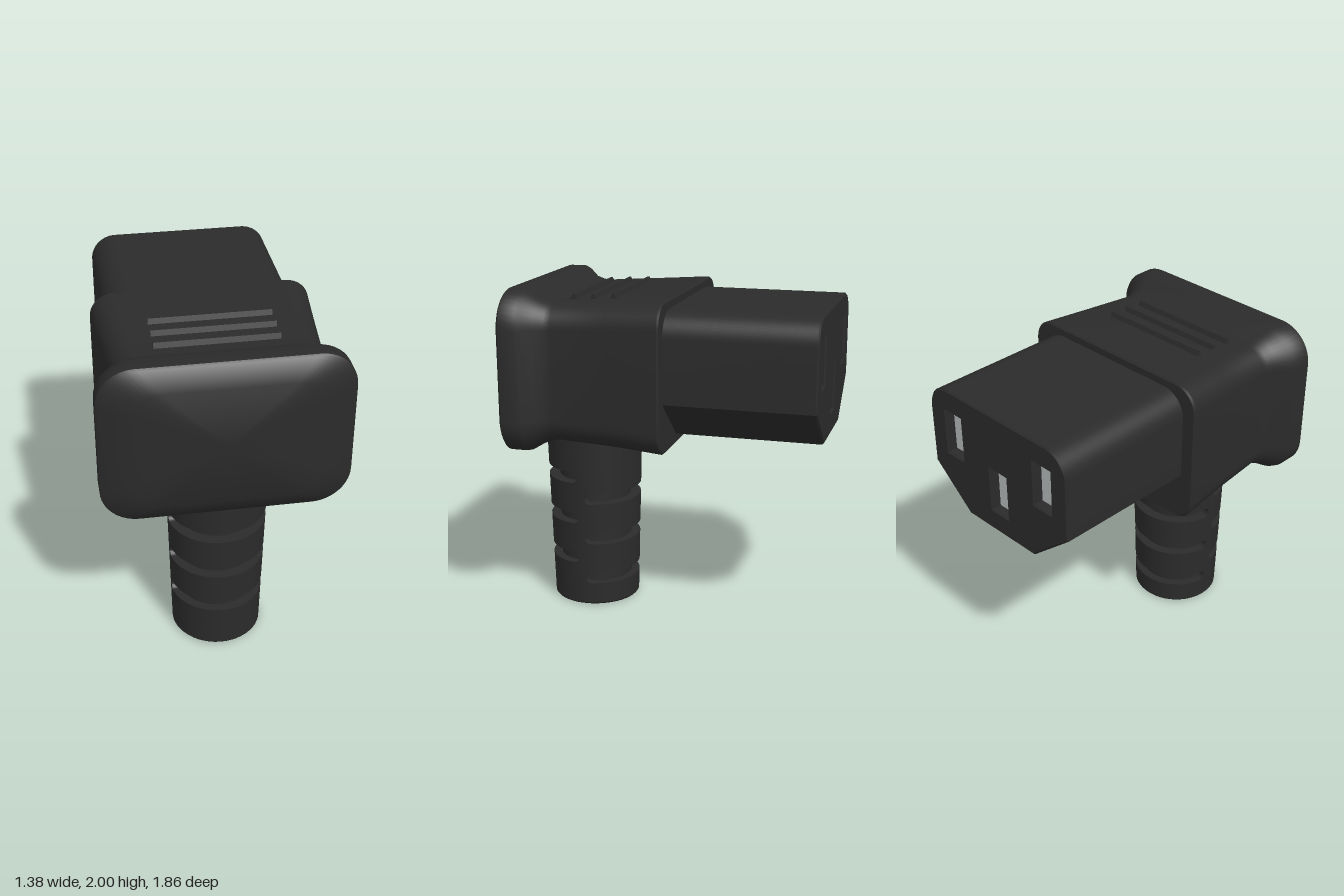
import * as THREE from 'three';
import { toCreasedNormals } from 'three/addons/utils/BufferGeometryUtils.js';

const rubber = new THREE.MeshStandardMaterial({ color: 0x2b2b2b });
rubber.name = 'black rubber';
const metal = new THREE.MeshStandardMaterial({ color: 0xb8bcbc });
metal.name = 'contact metal';

// Skin a stack of closed rings and cap both ends
function loft(rings, crease = 0.6) {
  const n = rings[0].length;
  const pos = rings.flat().flatMap((p) => [p.x, p.y, p.z]);
  const index = [];
  for (let i = 0; i < rings.length - 1; i++) {
    for (let j = 0; j < n; j++) {
      const a = i * n + j, b = i * n + (j + 1) % n;
      index.push(a, b, b + n, a, b + n, a + n);
    }
  }
  [0, rings.length - 1].forEach((r, end) => {
    const c = rings[r].reduce((s, p) => s.add(p), new THREE.Vector3()).divideScalar(n);
    const k = pos.length / 3;
    pos.push(c.x, c.y, c.z);
    for (let j = 0; j < n; j++) {
      const a = r * n + j, b = r * n + (j + 1) % n;
      index.push(...(end ? [k, a, b] : [k, b, a]));
    }
  });
  const g = new THREE.BufferGeometry();
  g.setAttribute('position', new THREE.Float32BufferAttribute(pos, 3));
  g.setIndex(index);
  return toCreasedNormals(g, crease);
}

// Rounded rectangle ring at depth z
function roundedRing([z, w, y0, y1, r]) {
  const ring = [], steps = 10;
  for (let q = 0; q < 4; q++) {
    const cx = (q === 0 || q === 3 ? 1 : -1) * (w - r);
    const cy = q < 2 ? y1 - r : y0 + r;
    for (let s = 0; s <= steps; s++) {
      const a = (q + s / steps) * Math.PI / 2;
      ring.push(new THREE.Vector3(cx + r * Math.cos(a), cy + r * Math.sin(a), z));
    }
  }
  return ring;
}

// Housing with flared front plate: z, half width, bottom, top, corner radius
function housing() {
  return loft([
    [-0.06, 0.625, 1.1, 1.95, 0.13],
    [-0.05, 0.635, 1.09, 1.96, 0.14],
    [0.25, 0.607, 1.108, 1.942, 0.14],
    [0.59, 0.578, 1.115, 1.922, 0.14],
    [0.63, 0.585, 1.105, 1.93, 0.15],
    [0.68, 0.607, 1.09, 1.945, 0.16],
    [0.74, 0.675, 1.055, 1.988, 0.2],
    [0.765, 0.69, 1.05, 2.0, 0.21],
    [0.86, 0.69, 1.05, 2.0, 0.21],
    [0.873, 0.675, 1.06, 1.99, 0.21],
    [0.93, 0.5, 1.17, 1.88, 0.14],
  ].map(roundedRing));
}

// Strain relief: tapered sleeve with half-round slots alternating front and back
function strainRelief() {
  const slot = 0.035, reach = 1.5, endAngle = 0.125, core = 0.22, axisZ = 0.54;
  const radius = (y) => 0.265 + 0.027 * y;
  const angles = [];
  for (let i = 0; i < 48; i++) angles.push((i + 0.5) / 48 * Math.PI * 2);
  for (let k = 0; k <= 6; k++) {
    const e = reach - endAngle + endAngle * Math.sin(k / 6 * Math.PI / 2);
    angles.push(e, Math.PI - e, Math.PI + e, Math.PI * 2 - e);
  }
  angles.sort((a, b) => a - b);

  // Half height of a slot at an angle, rounded at its ends
  const opening = (a, centre) => {
    const d = Math.abs(Math.atan2(Math.sin(a - centre), Math.cos(a - centre)));
    const t = Math.max(0, (d - reach + endAngle) / endAngle);
    return t >= 1 ? 0 : slot * Math.sqrt(1 - t * t);
  };
  const ring = (rowY, rowR = radius) => angles.map((a) => {
    const y = rowY(a), r = rowR(y);
    return new THREE.Vector3(r * Math.sin(a), y, axisZ + r * Math.cos(a));
  });

  const rings = [ring(() => 0, () => 0.257), ring(() => 0.01)];
  for (let i = 0; i < 6; i++) {
    const y = 0.175 + i * 0.13;
    const centre = i % 2 ? 0 : Math.PI;
    const low = (a) => y - opening(a, centre), high = (a) => y + opening(a, centre);
    rings.push(
      ring(() => y - slot), ring(low), ring(low, () => core),
      ring(high, () => core), ring(high), ring(() => y + slot),
    );
  }
  rings.push(ring(() => 1.16));
  return loft(rings);
}

const sockets = [[-0.36, 1.635], [0.36, 1.635], [0, 1.42]];

// Plug nose with rounded top, chamfered bottom and three contact openings
function nose() {
  const w = 0.55, top = 1.91, r = 0.15;
  const s = new THREE.Shape();
  s.moveTo(-0.27, 1.15).lineTo(0.27, 1.15).lineTo(w, 1.39).lineTo(w, top - r);
  s.absarc(w - r, top - r, r, 0, Math.PI / 2);
  s.absarc(-w + r, top - r, r, Math.PI / 2, Math.PI);
  s.lineTo(-w, 1.39).closePath();
  for (const [x, y] of sockets) {
    const h = new THREE.Path();
    h.moveTo(x - 0.065, y - 0.135).lineTo(x - 0.065, y + 0.135);
    h.lineTo(x + 0.065, y + 0.135).lineTo(x + 0.065, y - 0.135).closePath();
    s.holes.push(h);
  }
  const g = new THREE.ExtrudeGeometry(s, {
    depth: 0.9, curveSegments: 10, bevelSize: 0.01, bevelThickness: 0.01,
    bevelOffset: -0.01, bevelSegments: 1,
  });
  g.translate(0, 0, -0.92);
  return toCreasedNormals(g, 0.5);
}

// Triangular grip ridge running across the top
function ridge() {
  const s = new THREE.Shape();
  s.moveTo(-0.025, -0.02).lineTo(0.025, -0.02).lineTo(0.006, 0.03).lineTo(-0.006, 0.03).closePath();
  const g = new THREE.ExtrudeGeometry(s, { depth: 0.69, bevelEnabled: false });
  return g.translate(0, 0, -0.345).rotateY(Math.PI / 2);
}

export function createModel() {
  const model = new THREE.Group();
  model.name = 'angledPowerConnector';
  const add = (name, geometry, material, x = 0, y = 0, z = 0) => {
    const mesh = new THREE.Mesh(geometry, material);
    mesh.name = name;
    mesh.position.set(x, y, z);
    model.add(mesh);
  };

  add('housing', housing(), rubber);
  add('strainRelief', strainRelief(), rubber);
  add('plugNose', nose(), rubber);

  // Metal contacts recessed in the openings
  const contact = new THREE.BoxGeometry(0.13, 0.27, 0.1);
  for (const [x, y] of sockets) add('contact', contact, metal, x, y, -0.82);

  // Grip ridges follow the sloping top
  const grip = ridge();
  for (const z of [0.29, 0.41, 0.53]) add('gripRidge', grip, rubber, 0, 1.955 - 0.057 * z, z);

  return model;
}
